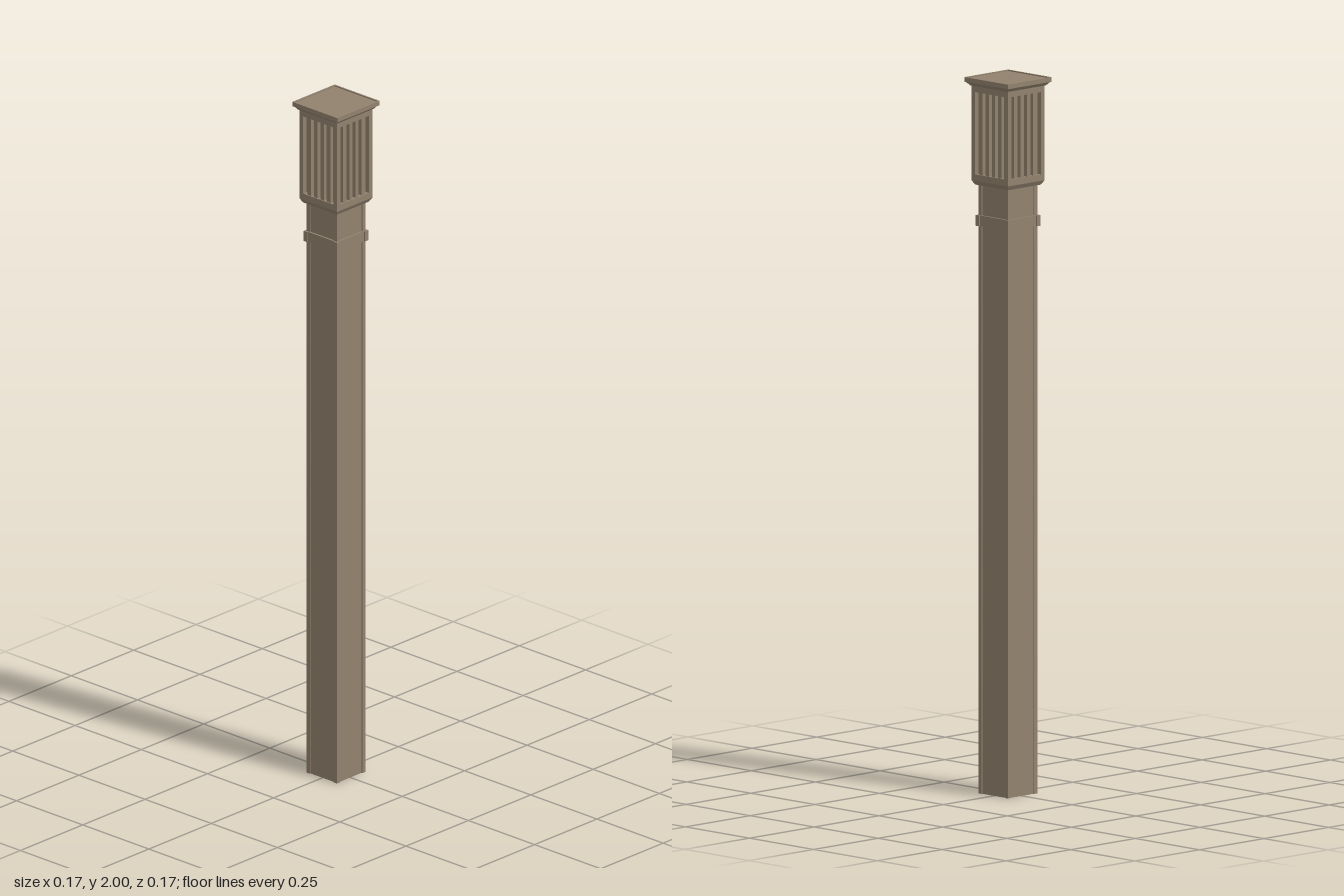
import * as THREE from 'three';

export function createModel() {
  const group = new THREE.Group();
  group.name = 'lanternPost';
  const material = new THREE.MeshStandardMaterial({ color: 0x92826f, flatShading: true, side: THREE.DoubleSide });

  const add = (name, geometry, parent = group) => {
    const mesh = new THREE.Mesh(geometry, material);
    mesh.name = name;
    parent.add(mesh);
    return mesh;
  };

  // Square turned profile: points are [half width, height], bottom to top
  const square = (name, points) => add(name, new THREE.LatheGeometry(
    points.map(([h, y]) => new THREE.Vector2(h * Math.SQRT2, y)), 4, Math.PI / 4));

  // Hollow square section whose four faces are sunk between raised corners
  const corneredTube = (name, half, sunk, corner, hole, y0, y1) => {
    const shape = new THREE.Shape();
    const e = half - corner;
    const side = [[-half, -half], [-e, -half], [-e, -sunk], [e, -sunk], [e, -half]];
    const points = [];
    for (let i = 0; i < 4; i++) {
      for (const [x, y] of side) {
        points.push(new THREE.Vector2(x, y).rotateAround(new THREE.Vector2(), i * Math.PI / 2));
      }
    }
    shape.setFromPoints(points);
    shape.holes.push(new THREE.Path([[-hole, -hole], [-hole, hole], [hole, hole], [hole, -hole]]
      .map(([x, y]) => new THREE.Vector2(x, y))));
    const geometry = new THREE.ExtrudeGeometry(shape, { depth: y1 - y0, bevelEnabled: false });
    geometry.rotateX(-Math.PI / 2).translate(0, y0, 0);
    return add(name, geometry);
  };

  // Shaft, open at the foot, and the collar around its neck
  corneredTube('shaft', 0.057, 0.054, 0.012, 0.051, 0, 1.705);
  corneredTube('collar', 0.063, 0.06, 0.014, 0.052, 1.585, 1.615);

  // Lantern base with flared underside, and the core behind the slats
  square('lanternBase', [[0, 1.70], [0.064, 1.70], [0.071, 1.712], [0.071, 1.73], [0, 1.73]]);
  square('lanternCore', [[0.057, 1.725], [0.057, 1.965]]);
  square('lanternHead', [[0, 1.96], [0.071, 1.96], [0.071, 1.98], [0, 1.98]]);

  // Corner posts and four slats on each side of the lantern
  for (let i = 0; i < 4; i++) {
    const side = new THREE.Group();
    side.name = 'lanternSide';
    side.rotation.y = i * Math.PI / 2;
    group.add(side);
    add('cornerPost', new THREE.BoxGeometry(0.014, 0.236, 0.014), side).position.set(0.064, 1.845, 0.064);
    for (let s = 0; s < 4; s++) {
      add('slat', new THREE.BoxGeometry(0.013, 0.234, 0.012), side)
        .position.set((s - 1.5) * 0.0245, 1.845, 0.062);
    }
  }

  // Stepped cap with a thin rim around its top
  square('cap', [[0, 1.977], [0.074, 1.977], [0.08, 1.985], [0.085, 1.987], [0.085, 2],
    [0.08, 2], [0.08, 1.997], [0, 1.997]]);

  return group;
}
